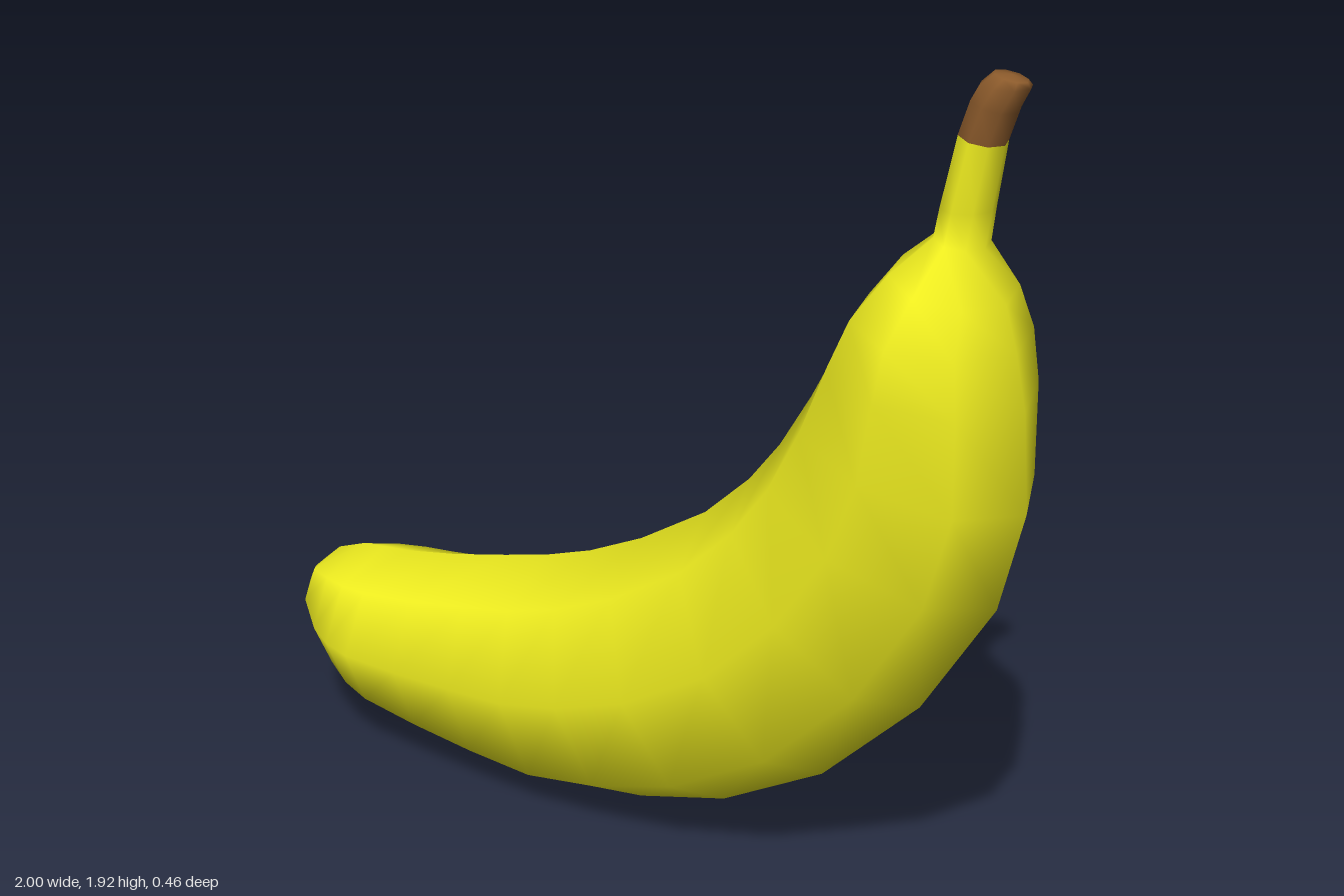
import * as THREE from 'three';

const SIDES = 8;

// Each ring: inner-curve point (x, y), outer-curve point (x, y), half width in z
const peelRings = [
  [-0.985, 0.39, -0.99, 0.30, 0.07],
  [-0.95, 0.42, -0.94, 0.23, 0.135],
  [-0.87, 0.45, -0.86, 0.13, 0.19],
  [-0.80, 0.46, -0.80, 0.095, 0.217],
  [-0.72, 0.47, -0.73, 0.07, 0.23],
  [-0.57, 0.50, -0.57, 0.04, 0.23],
  [-0.41, 0.54, -0.39, 0.015, 0.23],
  [-0.28, 0.575, -0.20, 0.0, 0.23],
  [-0.15, 0.62, 0.0, 0.03, 0.23],
  [0.0, 0.69, 0.24, 0.10, 0.23],
  [0.18, 0.80, 0.51, 0.25, 0.23],
  [0.30, 0.91, 0.76, 0.49, 0.23],
  [0.38, 1.01, 0.94, 0.77, 0.23],
  [0.46, 1.14, 1.0, 1.0, 0.23],
  [0.54, 1.29, 0.985, 1.22, 0.23],
  [0.60, 1.40, 0.96, 1.34, 0.218],
  [0.68, 1.50, 0.93, 1.44, 0.16],
  [0.765, 1.57, 0.875, 1.55, 0.07],
  [0.775, 1.63, 0.887, 1.63, 0.065],
  [0.81, 1.79, 0.91, 1.77, 0.057],
];
const stemRings = [
  [0.81, 1.79, 0.91, 1.77, 0.058],
  [0.835, 1.865, 0.935, 1.84, 0.056],
  [0.85, 1.893, 0.963, 1.893, 0.05],
  [0.88, 1.92, 0.955, 1.905, 0.03],
];

// Skin the rings into one smooth tube, with optional fan caps at the ends
function loft(rings, startTip, endTip) {
  const pos = [], index = [];
  for (const [ux, uy, lx, ly, w] of rings) {
    for (let j = 0; j < SIDES; j++) {
      const a = (j / SIDES) * Math.PI * 2, c = Math.cos(a) / 2;
      pos.push((ux + lx) / 2 + (ux - lx) * c, (uy + ly) / 2 + (uy - ly) * c, w * Math.sin(a));
    }
  }
  for (let i = 0; i < rings.length - 1; i++) {
    for (let j = 0; j < SIDES; j++) {
      const k = (j + 1) % SIDES;
      const a = i * SIDES + j, b = i * SIDES + k;
      index.push(a, b, a + SIDES, b, b + SIDES, a + SIDES);
    }
  }
  const cap = (tip, start, flip) => {
    const t = pos.length / 3;
    pos.push(...tip);
    for (let j = 0; j < SIDES; j++) {
      const a = start + j, b = start + ((j + 1) % SIDES);
      index.push(...(flip ? [t, b, a] : [t, a, b]));
    }
  };
  if (startTip) cap(startTip, 0, true);
  if (endTip) cap(endTip, (rings.length - 1) * SIDES, false);

  const geo = new THREE.BufferGeometry();
  geo.setAttribute('position', new THREE.Float32BufferAttribute(pos, 3));
  geo.setIndex(index);
  geo.computeVertexNormals();
  return geo;
}

export function createModel() {
  const group = new THREE.Group();
  group.name = 'banana';
  const add = (name, geometry, color) => {
    const mesh = new THREE.Mesh(geometry, new THREE.MeshStandardMaterial({ color }));
    mesh.name = name;
    group.add(mesh);
  };
  // Yellow body running into the stalk
  add('peel', loft(peelRings, [-1, 0.35, 0], null), 0xf2f020);
  // Brown cut end of the stalk
  add('stemTip', loft(stemRings, null, [0.92, 1.917, 0]), 0x8b5a2b);
  return group;
}
